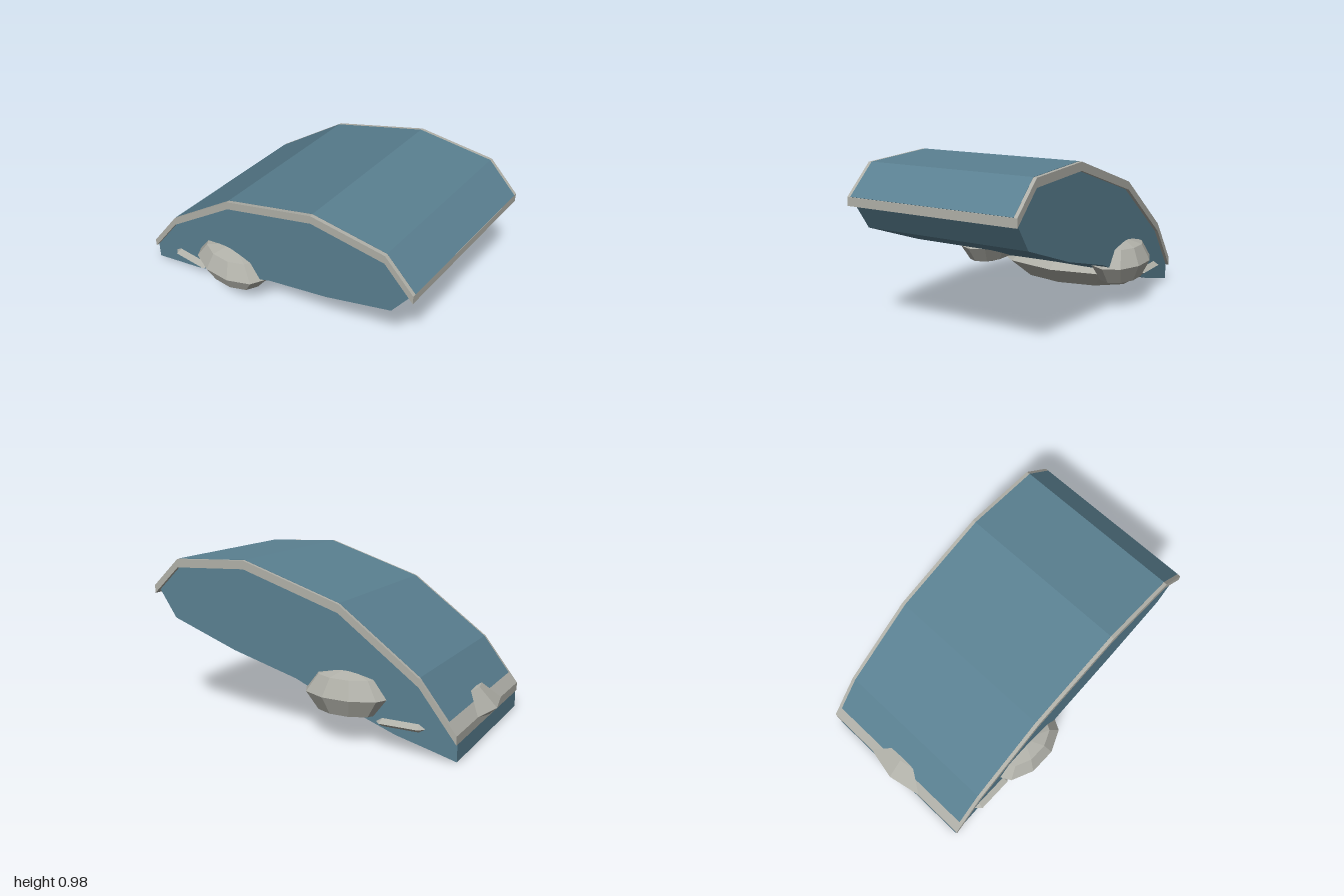
import * as THREE from 'three';

const blue = new THREE.MeshStandardMaterial({ name: 'body blue', color: 0x5a8091, flatShading: true });
const grey = new THREE.MeshStandardMaterial({ name: 'trim grey', color: 0xb0b0a8, flatShading: true });

// Roof line from the low end (-x) to the high end (+x)
const roof = [[-0.955, 0.16], [-0.74, 0.44], [-0.26, 0.79], [0.35, 0.983], [0.82, 0.96], [1, 0.79]];
// Underside from the high end back to the low end
const belly = [[0.975, 0.76], [0.865, 0.597], [0.44, 0.445], [0.02, 0.33], [-0.05, 0.3],
  [-0.42, 0.165], [-0.6, 0.1], [-0.82, 0.045], [-0.955, 0.01]];

// Extrude a side profile across z, centred
function slab(name, points, halfWidth, material) {
  const shape = new THREE.Shape(points.map(([x, y]) => new THREE.Vector2(x, y)));
  const geometry = new THREE.ExtrudeGeometry(shape, { depth: halfWidth * 2, bevelEnabled: false });
  geometry.translate(0, 0, -halfWidth);
  const mesh = new THREE.Mesh(geometry, material);
  mesh.name = name;
  return mesh;
}

// Flattened ten-sided ellipsoid
function pod(name, position, radii) {
  const mesh = new THREE.Mesh(new THREE.SphereGeometry(1, 10, 4), grey);
  mesh.name = name;
  mesh.position.set(...position);
  mesh.scale.set(...radii);
  return mesh;
}

export function createModel() {
  const group = new THREE.Group();

  // Body, its top panel a hair above the shell
  const lifted = roof.map(([x, y]) => [x, y + 0.002]);
  group.add(slab('body', [...lifted, ...belly], 0.522, blue));

  // Thin roof shell that overhangs both sides as a rim
  const outer = roof.map(([x, y], i) => [i === 0 ? x - 0.002 : x, y]);
  const inner = outer.map(([x, y]) => [x, y - 0.05]).reverse();
  group.add(slab('roofShell', [...outer, ...inner], 0.543, grey));

  // Large dish under the low end, poking through the front and sides
  group.add(pod('bellyDish', [-0.63, 0.16, 0], [0.37, 0.155, 0.585]));

  // Pods on both sides
  for (const side of [1, -1]) {
    group.add(pod(side > 0 ? 'frontPod' : 'backPod', [-0.298, 0.287, side * 0.488], [0.267, 0.145, 0.163]));
  }
  return group;
}
